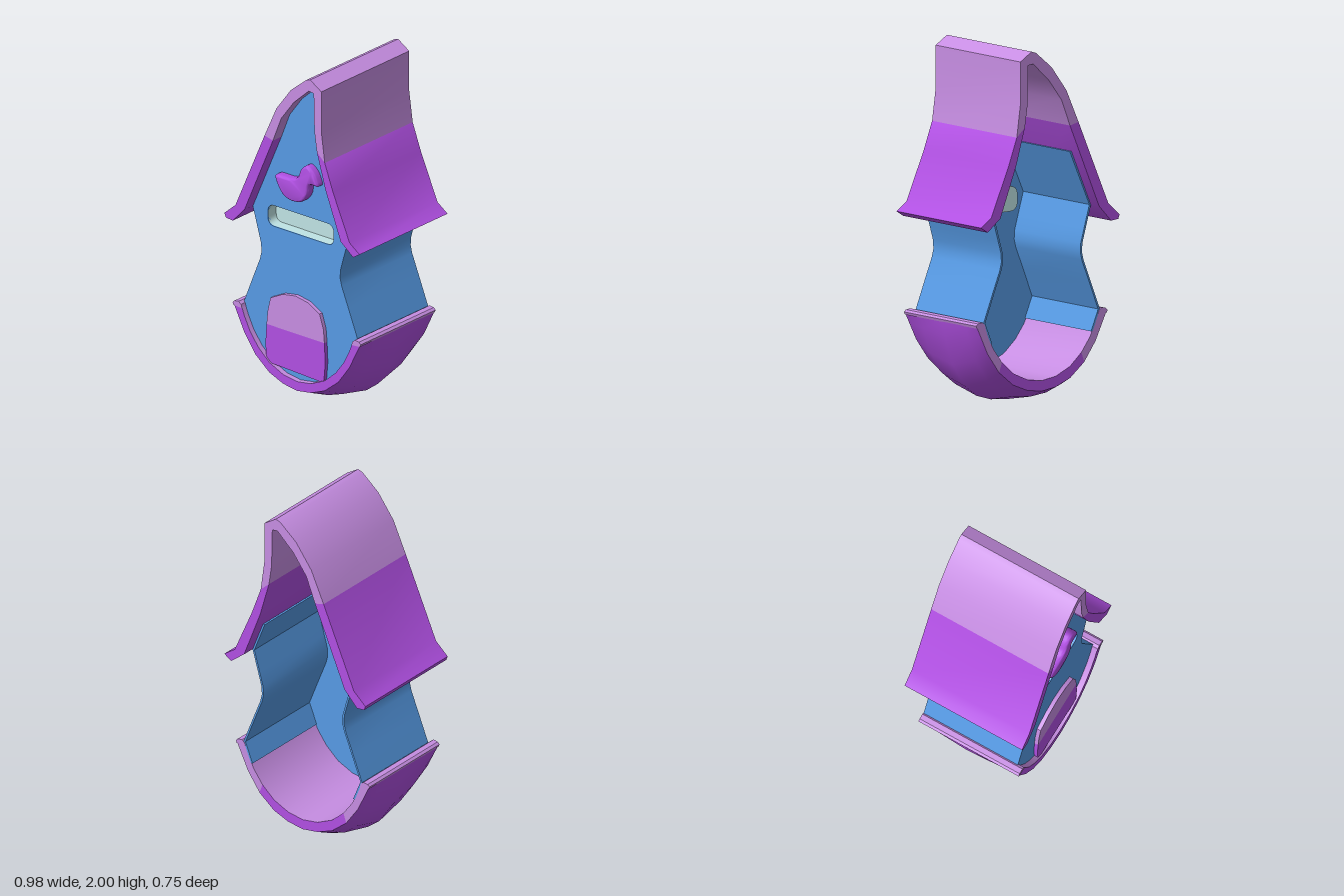
import * as THREE from 'three';
import { toCreasedNormals } from 'three/addons/utils/BufferGeometryUtils.js';

const mat = (name, color, side = THREE.FrontSide) => {
  const m = new THREE.MeshStandardMaterial({ color, side });
  m.name = name;
  return m;
};
const V = (pts) => pts.map(([x, y]) => new THREE.Vector2(x, y));
const flipX = (pts) => pts.map(([x, y]) => [-x, y]);

export function createModel() {
  const group = new THREE.Group();
  const purple = mat('purple', 0xb04fe2, THREE.DoubleSide);
  const lilac = mat('lilac', 0xc68de2, THREE.DoubleSide);
  const blue = mat('blue', 0x569ae4);
  const teal = mat('pale teal', 0xbfe3e4);

  const add = (name, geometry, material) => {
    const mesh = new THREE.Mesh(geometry, material);
    mesh.name = name;
    group.add(mesh);
    return mesh;
  };
  // Flat outline extruded between two depths
  const slab = (name, shape, z0, z1, material) => {
    const g = new THREE.ExtrudeGeometry(shape, { depth: z1 - z0, bevelEnabled: false, curveSegments: 6 });
    g.translate(0, 0, z0);
    return add(name, toCreasedNormals(g, 0.6), material);
  };
  const outline = (pts) => new THREE.Shape(V(pts));
  const band = (outer, inner) => outline([...outer, ...[...inner].reverse()]);

  // Roof: bent shell with a lighter leaning peak, overhanging front and back
  const leftOut = [[-0.49, 1.03], [-0.41, 1.1], [-0.2, 1.575]];
  const leftIn = [[-0.43, 1.0], [-0.345, 1.09], [-0.14, 1.56]];
  const peakOut = [[-0.2, 1.575], [-0.115, 1.76], [-0.01, 1.9], [0.1, 1.99], [0.13, 2.0], [0.21, 1.95], [0.21, 1.71], [0.235, 1.53]];
  const peakIn = [[-0.14, 1.56], [-0.08, 1.71], [0.01, 1.83], [0.12, 1.93], [0.155, 1.925], [0.16, 1.7], [0.178, 1.58]];
  const rightOut = [[0.235, 1.53], [0.295, 1.37], [0.415, 1.1], [0.487, 1.05]];
  const rightIn = [[0.178, 1.58], [0.24, 1.37], [0.35, 1.09], [0.44, 1.02]];
  slab('roofLeftSlope', band([[-0.48, 1.005], ...leftOut], leftIn), -0.375, 0.375, purple);
  slab('roofPeak', band(peakOut, peakIn), -0.375, 0.375, lilac);
  slab('roofRightSlope', band(rightOut, rightIn), -0.375, 0.375, purple);

  // Base half profiles: rim edge, bulging middle and inner hollow
  const rim = [[0, 0.085], [0.1, 0.1], [0.2, 0.14], [0.3, 0.22], [0.38, 0.33], [0.43, 0.43], [0.46, 0.49]];
  const belly = [[0, 0], [0.12, 0.01], [0.22, 0.04], [0.3, 0.1], [0.39, 0.23], [0.445, 0.4], [0.46, 0.49]];
  const hollow = [[0, 0.14], [0.1, 0.155], [0.2, 0.2], [0.28, 0.27], [0.34, 0.35], [0.38, 0.43], [0.405, 0.495]];
  const whole = (half) => [...flipX(half.slice(1)).reverse(), ...half];
  const [rimAll, bellyAll, hollowAll] = [rim, belly, hollow].map(whole);

  // Front panel with a slot for the window
  const waist = [[0.41, 0.5], [0.35, 0.65], [0.295, 0.785], [0.284, 0.83], [0.287, 0.88], [0.31, 0.96], [0.348, 1.09]];
  const slot = (Type, grow) => {
    const x = 0.237 + grow, y0 = 1.008 - grow, y1 = 1.132 + grow, r = 0.045 + grow;
    const s = new Type();
    s.moveTo(-x + r, y0).lineTo(x - r, y0).quadraticCurveTo(x, y0, x, y0 + r);
    s.lineTo(x, y1 - r).quadraticCurveTo(x, y1, x - r, y1).lineTo(-x + r, y1);
    s.quadraticCurveTo(-x, y1, -x, y1 - r).lineTo(-x, y0 + r).quadraticCurveTo(-x, y0, -x + r, y0);
    return s;
  };
  const panel = outline([...hollowAll, ...waist, ...rightIn.slice(0, 2).reverse(),
    ...[...peakIn].reverse().slice(1), ...flipX(waist).reverse()]);
  panel.holes.push(slot(THREE.Path, 0));
  slab('frontPanel', panel, 0.285, 0.302, blue);

  // Side walls follow the waist and tuck into the roof and base
  const side = [[0.36, 0.38], ...waist];
  const wallRight = [...side, [0.276, 1.27]];
  const wallLeft = [...flipX(side), [-0.21, 1.4]];
  const shift = (pts, d) => pts.map(([x, y]) => [x + d, y]);
  slab('rightWall', band(wallRight, shift(wallRight, -0.012)), -0.3, 0.3, blue);
  slab('leftWall', band(wallLeft, shift(wallLeft, 0.012)), -0.3, 0.3, blue);

  // Recessed window pocket
  const frame = slot(THREE.Shape, 0.008);
  frame.holes.push(slot(THREE.Path, 0));
  slab('windowRim', frame, 0.23, 0.296, teal);
  slab('windowBack', slot(THREE.Shape, 0.008), 0.222, 0.232, teal);

  // Two-tone door
  slab('doorLower', outline([[-0.205, 0.195], [0.175, 0.18], [0.187, 0.2], [0.196, 0.3], [0.19, 0.42], [-0.228, 0.42], [-0.236, 0.3], [-0.228, 0.21]]),
    0.298, 0.325, purple);
  slab('doorUpper', outline([[-0.228, 0.42], [0.19, 0.42], [0.183, 0.5], [0.155, 0.585], [0.07, 0.63], [-0.02, 0.645],
    [-0.11, 0.63], [-0.2, 0.585], [-0.22, 0.5]]), 0.298, 0.325, lilac);

  // Rounded bird ornament
  const bird = new THREE.SplineCurve(V([[0.16, 1.36], [0.135, 1.42], [0.085, 1.46], [0.04, 1.43], [0.015, 1.375], [-0.04, 1.352],
    [-0.135, 1.35], [-0.145, 1.325], [-0.105, 1.255], [-0.06, 1.226], [-0.01, 1.22], [0.045, 1.235], [0.085, 1.285], [0.1, 1.35], [0.155, 1.352]]));
  const birdGeo = new THREE.ExtrudeGeometry(new THREE.Shape(bird.getPoints(44)),
    { depth: 0.03, bevelSize: 0.014, bevelOffset: -0.014, bevelThickness: 0.02, bevelSegments: 4 });
  birdGeo.translate(0, 0, 0.305);
  add('bird', toCreasedNormals(birdGeo, 0.9), purple);

  // Skin stretched over rows of equal length
  const skin = (rows) => {
    const n = rows[0].length, index = [];
    for (let r = 0; r < rows.length - 1; r++) {
      for (let i = 0; i < n - 1; i++) {
        const a = r * n + i, b = a + n;
        index.push(a, b, a + 1, b, b + 1, a + 1);
      }
    }
    const g = new THREE.BufferGeometry();
    g.setAttribute('position', new THREE.Float32BufferAttribute(rows.flat(2), 3));
    g.setIndex(index);
    g.computeVertexNormals();
    return g;
  };
  const at = (pts, z) => pts.map(([x, y]) => [x, y, z]);

  // Base cradle: each section blends from the rim to the belly
  const sections = [[-0.3, 0.05], [-0.2, 0.55], [0, 1], [0.2, 0.6], [0.335, 0]].map(([z, t]) =>
    rimAll.map(([x, y], i) => [x + (bellyAll[i][0] - x) * t, y + (bellyAll[i][1] - y) * t, z]));
  add('baseShell', skin(sections), purple);
  add('baseInside', skin([at(hollowAll, 0.335), at(hollowAll, -0.3)]), lilac);
  add('baseFrontRim', skin([sections[4], at(hollowAll, 0.335)]), purple);

  // Back rim is lighter towards both tips
  const back = [at(hollowAll, -0.3), sections[0]];
  [[0, 4, lilac], [3, 10, purple], [9, 13, lilac]].forEach(([a, b, m], i) =>
    add('baseBackRim' + (i + 1), skin(back.map((row) => row.slice(a, b))), m));

  // Rounded lips along the top of the base
  const lip = [[0.457, 0.475], [0.463, 0.49], [0.45, 0.502], [0.42, 0.506], [0.402, 0.492], [0.396, 0.47]];
  slab('baseLipRight', outline(lip), -0.302, 0.337, lilac);
  slab('baseLipLeft', outline(flipX(lip).reverse()), -0.302, 0.337, lilac);

  return group;
}
